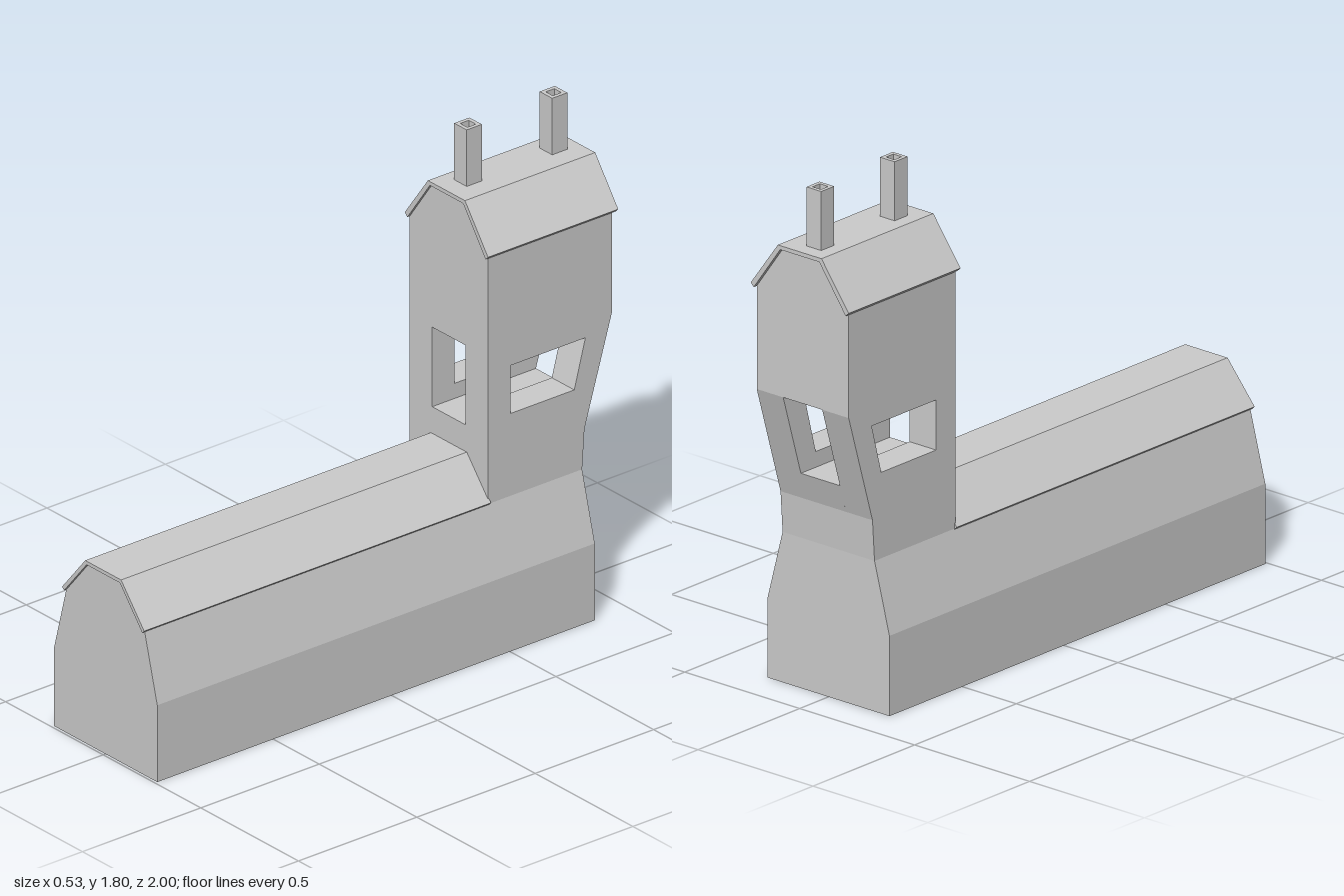
import * as THREE from 'three';

const material = new THREE.MeshStandardMaterial({ color: 0xcccccc, flatShading: true });
const toPoints = (pts) => pts.map(([a, b]) => new THREE.Vector2(a, b));
const mirrored = (pts) => [...pts, ...pts.map(([x, y]) => [-x, y]).reverse()];

function extrude(pts, depth, hole) {
  const shape = new THREE.Shape(toPoints(pts));
  if (hole) shape.holes.push(new THREE.Path(toPoints(hole)));
  return new THREE.ExtrudeGeometry(shape, { depth, bevelEnabled: false });
}

// (x, y) profile running from z0 to z1
const alongZ = (pts, z0, z1) => extrude(pts, z1 - z0).translate(0, 0, z0);

// (z, y) profile running from x0 to x1
const alongX = (pts, x0, x1, hole) =>
  extrude(pts, x1 - x0, hole).rotateY(-Math.PI / 2).translate(x1, 0, 0);

// Thin three-sided roof: outer eave and ridge corners, then inner ones
const roofBand = ([eave, ridge, innerRidge, innerEave]) => [
  eave, ridge, [-ridge[0], ridge[1]], [-eave[0], eave[1]],
  [-innerEave[0], innerEave[1]], [-innerRidge[0], innerRidge[1]], innerRidge, innerEave,
];

export function createModel() {
  const model = new THREE.Group();
  const add = (name, geometry, parent = model) => {
    const mesh = new THREE.Mesh(geometry, material);
    mesh.name = name;
    parent.add(mesh);
    return mesh;
  };

  // Long hall with battered walls and a gambrel top
  add('hall', alongZ(mirrored([[0.265, 0], [0.265, 0.28], [0.2, 0.525], [0.085, 0.66]]), -0.858, 0.99));
  add('hallRoof', alongZ(
    roofBand([[0.21, 0.532], [0.092, 0.673], [0.085, 0.66], [0.2, 0.522]]), -0.465, 1));

  // Tower: solid middle strip broken by the front-to-back opening,
  // flanked by two cheeks pierced by the side window
  const tower = new THREE.Group();
  tower.name = 'tower';
  model.add(tower);
  const front = -0.46;
  const gap = 0.085;
  const half = 0.2;
  const backAt = (y) => -0.868 - 0.117 * (y - 0.67) / 0.39;
  add('towerLowerCore', alongX([[front, 0.525], [front, 0.77], [backAt(0.77), 0.77],
    [-0.868, 0.67], [-0.858, 0.525]], -gap, gap), tower);
  add('towerUpperCore', alongX([[front, 1.06], [front, 1.425], [-0.985, 1.425],
    [-0.985, 1.06]], -gap, gap), tower);
  const cheek = [[front, 0.525], [front, 1.425], [-0.985, 1.425], [-0.985, 1.06],
    [-0.868, 0.67], [-0.858, 0.525]];
  const sideWindow = [[-0.555, 0.825], [-0.555, 1], [-0.872, 1], [-0.825, 0.825]];
  add('towerLeftCheek', alongX(cheek, gap, half, sideWindow), tower);
  add('towerRightCheek', alongX(cheek, -half, -gap, sideWindow), tower);
  add('towerGable', alongZ(mirrored([[0.2, 1.425], [0.085, 1.58]]), -0.985, front), tower);
  add('towerRoof', alongZ(
    roofBand([[0.213, 1.433], [0.095, 1.594], [0.085, 1.58], [0.2, 1.42]]), -1, -0.45), tower);

  // Hollow square chimneys
  const square = (r) => [[-r, -r], [r, -r], [r, r], [-r, r]];
  for (const [name, z] of [['frontChimney', -0.552], ['backChimney', -0.913]]) {
    const flue = extrude(square(0.032), 0.22, square(0.018)).rotateX(-Math.PI / 2);
    add(name, flue).position.set(-0.013, 1.58, z);
  }
  return model;
}
